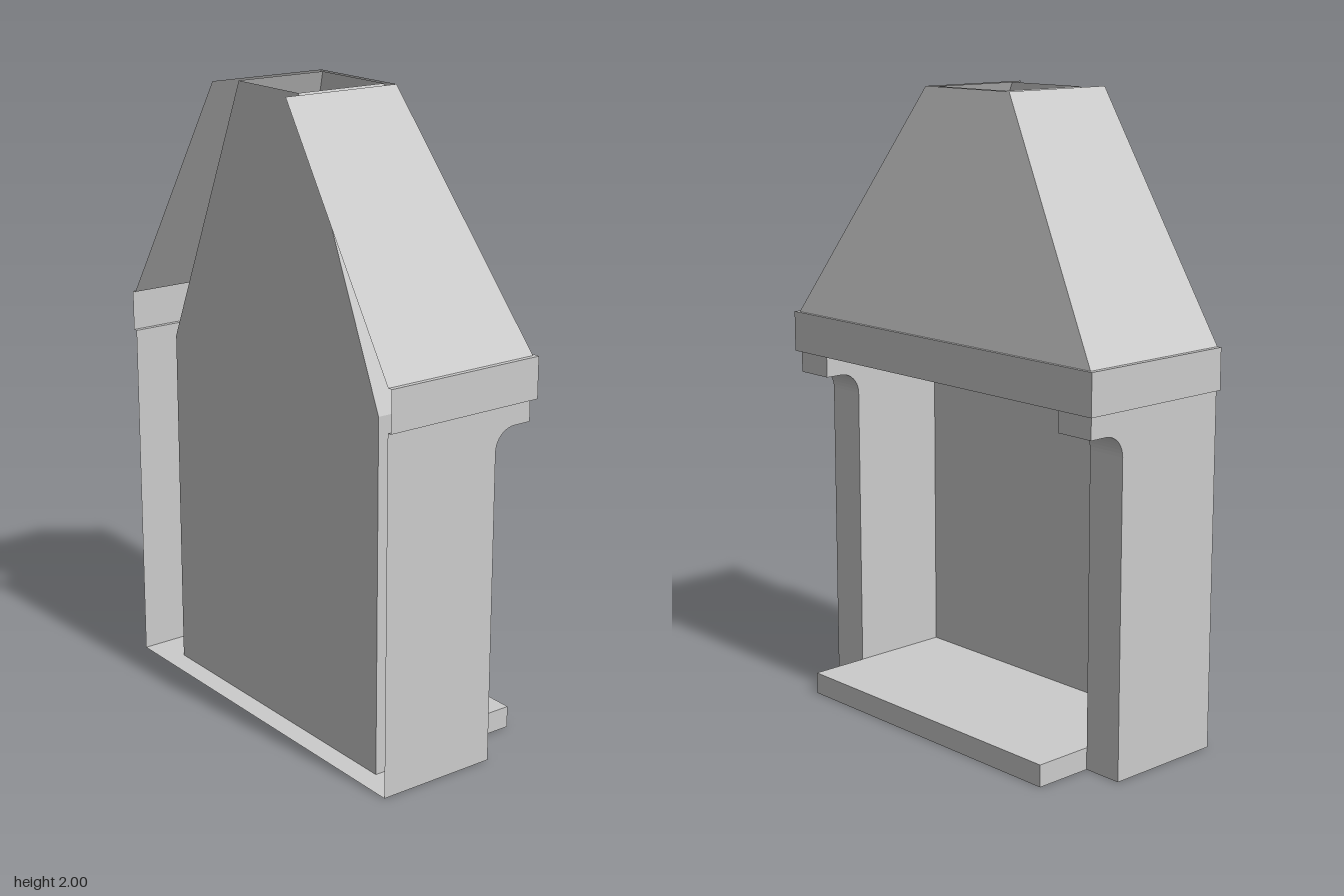
import * as THREE from 'three';

const grey = new THREE.MeshStandardMaterial({ color: 0xcccccc, side: THREE.DoubleSide });

// Dimensions shared between parts
const BACK = 0.3, PANEL = 0.23, FACE = -0.1, LIP = -0.23;
const BAND_LOW = 1.13, BAND_HIGH = 1.26, TOP = 2;
const OUTER = 0.66, INNER = 0.53;

function add(parent, name, geometry) {
  const mesh = new THREE.Mesh(geometry, grey);
  mesh.name = name;
  parent.add(mesh);
  return mesh;
}

// Sheet of flat quads joining two matching rows of [x, y, z] points
function sheet(a, b) {
  const pos = [];
  for (let i = 0; i < a.length - 1; i++) {
    pos.push(...a[i], ...b[i], ...b[i + 1], ...a[i], ...b[i + 1], ...a[i + 1]);
  }
  const g = new THREE.BufferGeometry();
  g.setAttribute('position', new THREE.Float32BufferAttribute(pos, 3));
  g.computeVertexNormals();
  return g;
}

// U-shaped row, open at the back: right side, front, left side
const uRow = (x, y, zFront, zBack = BACK) => [
  [-x, y, zBack], [-x, y, zFront], [x, y, zFront], [x, y, zBack],
];

// Upright plate lying in the z-y plane at the given x
function sidePlate(profile, x) {
  const shape = new THREE.Shape(profile.map(([z, y]) => new THREE.Vector2(z, y)));
  const g = new THREE.ShapeGeometry(shape);
  g.rotateY(-Math.PI / 2);
  g.translate(x, 0, 0);
  return g;
}

export function createModel() {
  const model = new THREE.Group();
  model.name = 'fireplace';

  // Hollow side pillars with a curved corbel under the mantel
  const corbel = [[FACE, 0], [FACE, 0.99]];
  for (let i = 1; i <= 10; i++) {
    const t = (i / 10) * Math.PI / 2;
    corbel.push([FACE - 0.07 * (1 - Math.cos(t)), 0.99 + 0.07 * Math.sin(t)]);
  }
  corbel.push([LIP, 1.06], [LIP, BAND_LOW]);
  for (const s of [-1, 1]) {
    const pillar = new THREE.Group();
    pillar.name = s > 0 ? 'leftPillar' : 'rightPillar';
    add(pillar, 'outerWall', sidePlate([...corbel, [BACK, BAND_LOW], [BACK, 0]], s * OUTER));
    add(pillar, 'innerWall', sidePlate([...corbel, [PANEL, BAND_LOW], [PANEL, 0]], s * INNER));
    const edge = (x) => corbel.map(([z, y]) => [s * x, y, z]);
    const front = s > 0 ? sheet(edge(INNER), edge(OUTER)) : sheet(edge(OUTER), edge(INNER));
    // Face the pillar front outwards
    front.index || add(pillar, 'pillarFront', front);
    model.add(pillar);
  }

  // Mantel band with narrow ledges above and below
  const band = new THREE.Group();
  band.name = 'mantelBand';
  add(band, 'bandWall', sheet(uRow(0.675, BAND_HIGH, -0.245), uRow(0.675, BAND_LOW, -0.245)));
  add(band, 'topLedge', sheet(uRow(OUTER, BAND_HIGH, -0.235), uRow(0.675, BAND_HIGH, -0.245)));
  add(band, 'bottomLedge', sheet(uRow(0.675, BAND_LOW, -0.245), uRow(OUTER, BAND_LOW, -0.22)));
  model.add(band);

  // Tapered outer hood, open at the top and back
  add(model, 'hood', sheet(uRow(0.185, TOP, FACE), uRow(OUTER, BAND_HIGH, -0.235)));

  // Inner smoke funnel following the hood
  add(model, 'funnel', sheet(uRow(0.15, TOP, -0.08, PANEL), uRow(INNER, BAND_LOW, -0.22, PANEL)));

  // Firebox back panel, narrowing towards the flue
  const panel = new THREE.Shape([
    [-INNER, 0], [INNER, 0], [INNER, BAND_LOW], [0.15, TOP], [-0.15, TOP], [-INNER, BAND_LOW],
  ].map(([x, y]) => new THREE.Vector2(x, y)));
  add(model, 'backPanel', new THREE.ShapeGeometry(panel)).position.z = PANEL;

  // Hearth slab running from the back panel out past the pillars
  const depth = PANEL + 0.295;
  add(model, 'hearth', new THREE.BoxGeometry(2 * INNER, 0.07, depth))
    .position.set(0, 0.035, PANEL - depth / 2);

  // Thin base sheet under the whole body
  add(model, 'base', sheet(
    [[-OUTER, 0, FACE], [OUTER, 0, FACE]],
    [[-OUTER, 0, BACK], [OUTER, 0, BACK]],
  ));

  return model;
}
